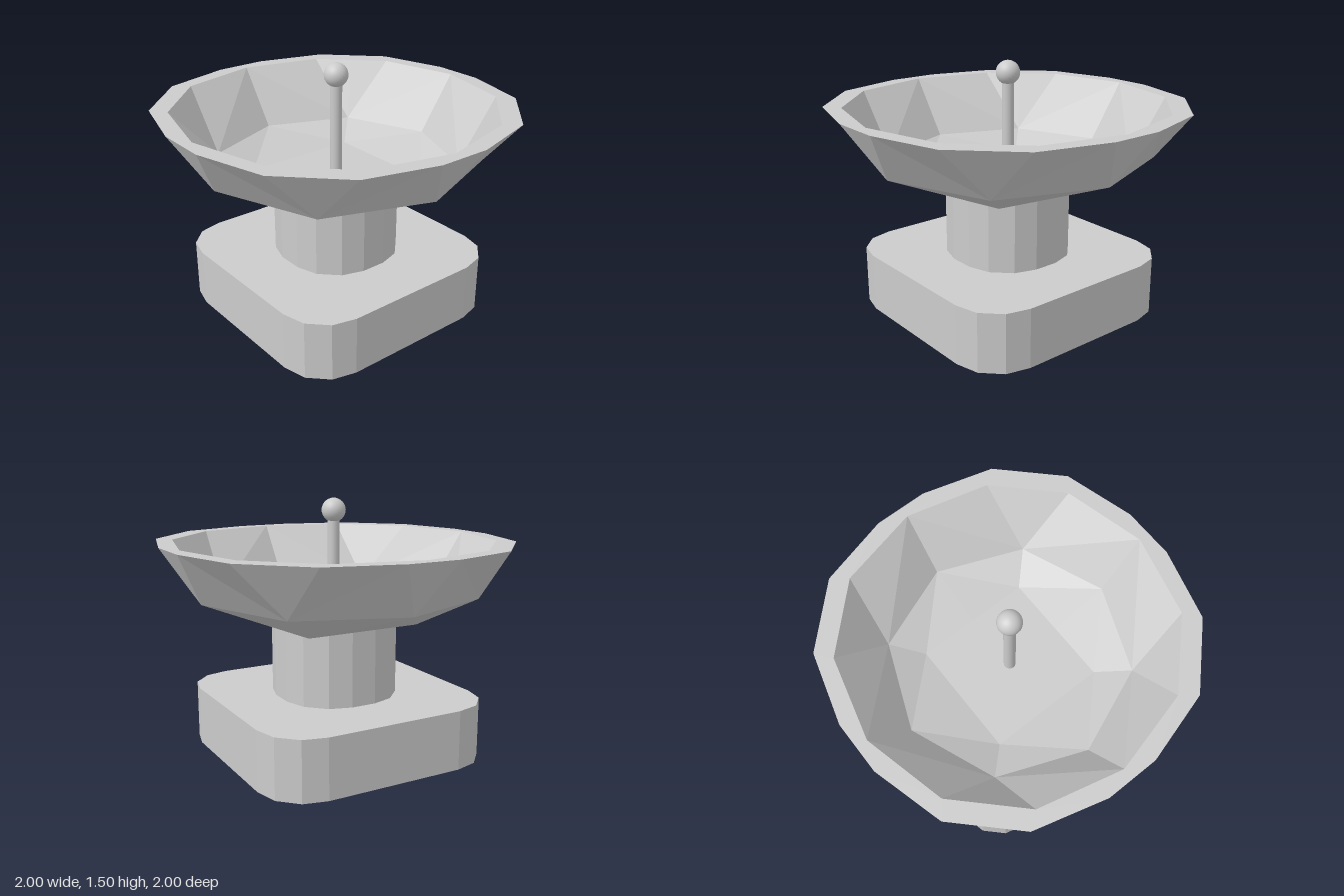
import * as THREE from 'three';

const flat = new THREE.MeshStandardMaterial({ color: 0xcccccc, flatShading: true });
const smooth = new THREE.MeshStandardMaterial({ color: 0xcccccc });

function add(group, name, geometry, material, y = 0) {
  const mesh = new THREE.Mesh(geometry, material);
  mesh.name = name;
  mesh.position.y = y;
  group.add(mesh);
  return mesh;
}

// Upright block whose outline repeats one quarter (x, z points) four times
function block(quarter, height) {
  const points = [];
  for (let k = 0; k < 4; k++) {
    const centre = new THREE.Vector2();
    for (const [x, y] of quarter) points.push(new THREE.Vector2(x, y).rotateAround(centre, k * Math.PI / 2));
  }
  const geometry = new THREE.ExtrudeGeometry(new THREE.Shape(points), { depth: height, bevelEnabled: false });
  return geometry.rotateX(-Math.PI / 2);
}

// Faceted bowl: one eighth wedge, mirrored and turned around the axis
function bowl() {
  const p = {
    // outside: square foot, octagon, sixteen-sided rim
    c: [0, 0.785, 0], s0: [0, 0.785, 0.35], s1: [0.35, 0.785, 0.35],
    a: [0, 0.955, 0.825], d: [0.6, 0.955, 0.6],
    r0: [0, 1.26, 1], r1: [0.155, 1.26, 1], r2: [0.57, 1.26, 0.885], r3: [0.7275, 1.26, 0.7275],
    // inside: twelve-sided lip, octagon, square floor
    i0: [0, 1.26, 0.935], i1: [0.48, 1.26, 0.815], i2: [0.6475, 1.26, 0.6475],
    e: [0, 0.925, 0.7], f: [0.5, 0.925, 0.5],
    t0: [0, 0.83, 0.35], t1: [0.35, 0.83, 0.35], o: [0, 0.83, 0],
  };
  const faces = [
    'c s1 s0', 's0 s1 a', 's1 d a', 'a r1 r0', 'a d r1', 'd r2 r1', 'd r3 r2',
    'r0 r1 i0', 'r1 i1 i0', 'r1 r2 i1', 'r2 i2 i1', 'r2 r3 i2',
    'i0 i1 f', 'i0 f e', 'i1 i2 f', 'e f t1', 'e t1 t0', 't0 t1 o',
  ].map((face) => face.split(' ').map((key) => p[key]));

  const positions = [];
  for (let k = 0; k < 4; k++) {
    for (const side of [1, -1]) {
      for (const face of faces) {
        const corners = side > 0 ? face : [...face].reverse();
        for (const [px, y, pz] of corners) {
          let x = px * side, z = pz;
          for (let turn = 0; turn < k; turn++) [x, z] = [z, -x];
          positions.push(x, y, z);
        }
      }
    }
  }
  const geometry = new THREE.BufferGeometry();
  geometry.setAttribute('position', new THREE.Float32BufferAttribute(positions, 3));
  geometry.computeVertexNormals();
  return geometry;
}

export function createModel() {
  const group = new THREE.Group();
  group.name = 'dishOnPedestal';

  // Rounded square base and the column on it
  add(group, 'base', block([[0.7, -0.42], [0.7, 0.42], [0.665, 0.56], [0.56, 0.665]], 0.35), flat);
  add(group, 'column', block([[0.35, -0.075], [0.35, 0.075], [0.31, 0.205], [0.205, 0.31]], 0.435), flat, 0.35);

  add(group, 'dish', bowl(), flat);

  // Feed rod with a ball on top
  add(group, 'rod', new THREE.CylinderGeometry(0.035, 0.035, 0.58, 16), smooth, 1.12);
  add(group, 'ball', new THREE.SphereGeometry(0.07, 24, 16), smooth, 1.435);

  return group;
}
